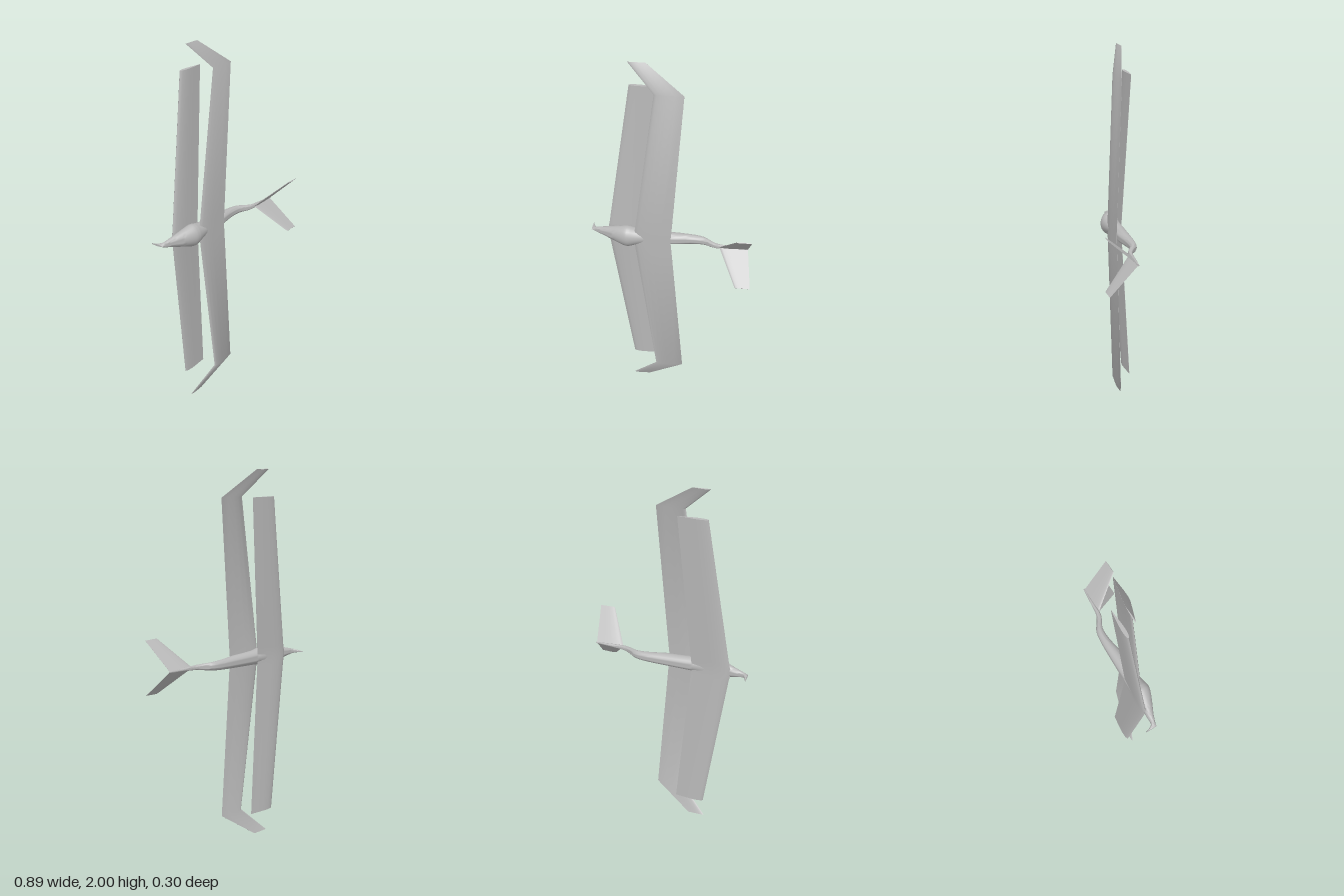
import * as THREE from 'three';
import { toCreasedNormals } from 'three/addons/utils/BufferGeometryUtils.js';

// Skin a list of closed rings (equal point counts) and cap both ends
function loft(rings, crease = 0.7) {
  const n = rings[0].length, pos = [], idx = [];
  rings.forEach(r => r.forEach(p => pos.push(p.x, p.y, p.z)));
  for (let i = 0; i < rings.length - 1; i++) {
    for (let j = 0; j < n; j++) {
      const a = i * n + j, b = i * n + (j + 1) % n;
      idx.push(a, b, b + n, a, b + n, a + n);
    }
  }
  const last = (rings.length - 1) * n;
  for (let j = 1; j < n - 1; j++) {
    idx.push(0, j + 1, j, last, last + j, last + j + 1);
  }
  // Turn the faces outward if the enclosed volume is negative
  let volume = 0;
  const at = k => new THREE.Vector3(...pos.slice(k * 3, k * 3 + 3));
  for (let k = 0; k < idx.length; k += 3) {
    volume += at(idx[k]).dot(at(idx[k + 1]).cross(at(idx[k + 2])));
  }
  if (volume < 0) idx.reverse();
  const geo = new THREE.BufferGeometry();
  geo.setAttribute('position', new THREE.Float32BufferAttribute(pos, 3));
  geo.setIndex(idx);
  return toCreasedNormals(geo, crease);
}

// Airfoil outline: [chord fraction, thickness fraction], rounded leading edge
const AIRFOIL = [
  [0, 0], [0.03, 0.45], [0.1, 0.78], [0.25, 1], [0.45, 0.9], [0.7, 0.5], [1, 0.05],
  [1, -0.05], [0.7, -0.5], [0.45, -0.9], [0.25, -1], [0.1, -0.78], [0.03, -0.45],
];

// Section at span y, chord x0..x1, edge heights z0..z1, half thickness h along direction (ny, nz)
function section({ y, x0, x1, z0, z1, h, ny = 0, nz = 1 }) {
  return AIRFOIL.map(([c, t]) => new THREE.Vector3(
    x0 + (x1 - x0) * c, y + t * h * ny, z0 + (z1 - z0) * c + t * h * nz));
}

// Full-span wing from half-span stations, root first
function wing(stations) {
  const mirrored = stations.slice(1).reverse()
    .map(s => ({ ...s, y: -s.y, ny: -(s.ny || 0) }));
  return loft([...mirrored, ...stations].map(section));
}

export function createModel() {
  const group = new THREE.Group();
  const grey = new THREE.MeshStandardMaterial({ color: 0xb8b8b8 });
  grey.name = 'light grey';
  const add = (name, geo) => {
    const mesh = new THREE.Mesh(geo, grey);
    mesh.name = name;
    mesh.position.y = 1;
    group.add(mesh);
  };

  // Fuselage with upturned nose: x, half width, lower z, upper z
  const body = [
    [-0.445, 0.005, -0.15, -0.08], [-0.435, 0.009, -0.12, -0.077],
    [-0.42, 0.014, -0.1, -0.073], [-0.38, 0.024, -0.098, -0.058],
    [-0.33, 0.038, -0.097, -0.034], [-0.28, 0.052, -0.097, -0.011],
    [-0.24, 0.06, -0.096, 0], [-0.2, 0.05, -0.096, -0.006],
    [-0.15, 0.04, -0.095, -0.016], [-0.08, 0.036, -0.094, -0.022],
    [0, 0.033, -0.092, -0.022], [0.1, 0.027, -0.088, -0.038],
    [0.17, 0.022, -0.077, -0.037], [0.22, 0.016, -0.045, -0.013],
    [0.26, 0.012, -0.027, -0.002], [0.34, 0.008, -0.018, -0.003],
    [0.42, 0.003, -0.01, -0.003],
  ];
  const curve = k => new THREE.CatmullRomCurve3(
    body.map(s => new THREE.Vector3(s[0], s[1], s[k])), false, 'catmullrom', 0.5);
  const low = curve(2).getPoints(64), high = curve(3).getPoints(64);
  const rings = low.map((p, i) => Array.from({ length: 24 }, (_, j) => {
    const a = j / 24 * Math.PI * 2, q = high[i];
    return new THREE.Vector3(p.x, Math.sin(a) * p.y,
      (p.z + q.z) / 2 + Math.cos(a) * (q.z - p.z) / 2);
  }));
  add('fuselage', loft(rings, 0.9));

  // Main wing with cranked tips swept forward and back from the face
  add('mainWing', wing([
    { y: 0, x0: -0.205, x1: -0.003, z0: -0.032, z1: -0.02, h: 0.012 },
    { y: 0.06, x0: -0.196, x1: 0.003, z0: -0.03, z1: -0.02, h: 0.01 },
    { y: 0.86, x0: -0.086, x1: 0.066, z0: -0.023, z1: -0.025, h: 0.007, ny: 0.2, nz: 0.98 },
    { y: 1, x0: -0.226, x1: -0.134, z0: -0.083, z1: -0.083, h: 0.003, ny: 0.4, nz: 0.92 },
  ]));

  // Second wing, behind the main one
  add('rearWing', wing([
    { y: 0, x0: -0.357, x1: -0.145, z0: -0.09, z1: -0.088, h: 0.013 },
    { y: 0.05, x0: -0.346, x1: -0.14, z0: -0.092, z1: -0.09, h: 0.012 },
    { y: 0.86, x0: -0.228, x1: -0.07, z0: -0.12, z1: -0.117, h: 0.01 },
  ]));

  // V-shaped tail
  for (const side of [1, -1]) {
    const dir = { ny: -side * 0.7, nz: 0.7 };
    add(side > 0 ? 'upperTailFin' : 'lowerTailFin', loft([
      { y: 0, x0: 0.262, x1: 0.415, z0: -0.006, z1: -0.006, h: 0.005, ...dir },
      { y: side * 0.145, x0: 0.363, x1: 0.443, z0: 0.15, z1: 0.15, h: 0.003, ...dir },
    ].map(section)));
  }
  return group;
}
